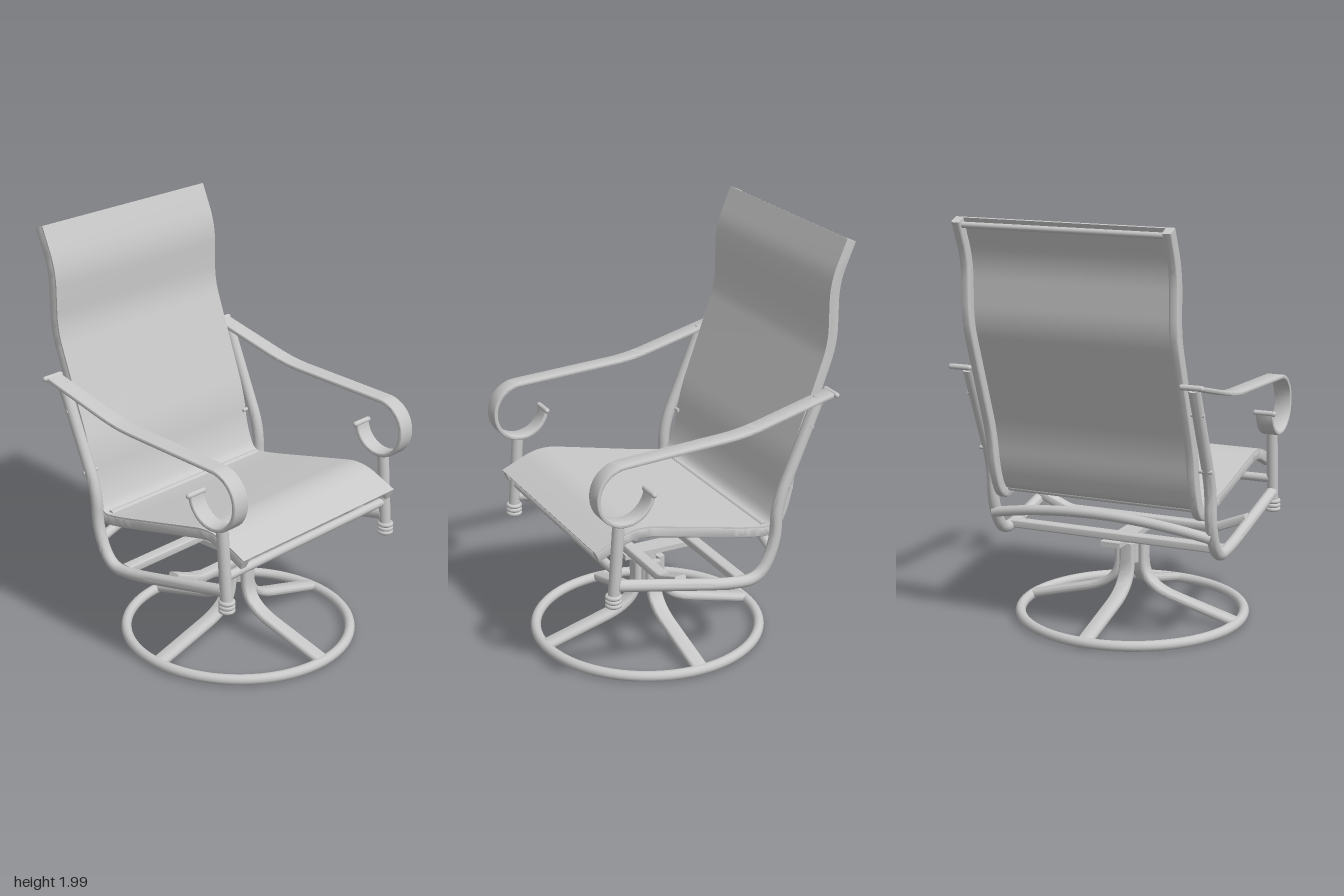
import * as THREE from 'three';
import { toCreasedNormals } from 'three/addons/utils/BufferGeometryUtils.js';

const V = (x, y, z) => new THREE.Vector3(x, y, z);

// Polyline with every inner corner rounded over the given length
function fillet(points, r, steps = 8) {
  const out = [points[0]];
  for (let i = 1; i < points.length - 1; i++) {
    const [p, c, n] = [points[i - 1], points[i], points[i + 1]];
    const a = c.clone().lerp(p, Math.min(0.48, r / c.distanceTo(p)));
    const b = c.clone().lerp(n, Math.min(0.48, r / c.distanceTo(n)));
    out.push(...new THREE.QuadraticBezierCurve3(a, c, b).getPoints(steps));
  }
  out.push(points[points.length - 1]);
  return out;
}

// Cross-sections: [offset along the side vector, offset along the path normal]
const oval = (w, h, n = 18) => Array.from({ length: n }, (_, i) => {
  const t = (i / n) * Math.PI * 2;
  return [w * Math.cos(t), h * Math.sin(t)];
});
const rect = (w, h, off = 0) => [[w, off - h], [w, off + h], [-w, off + h], [-w, off - h]];
const softRect = (w, h, r) => {
  const out = [];
  [[1, 1], [-1, 1], [-1, -1], [1, -1]].forEach(([sx, sy], k) => {
    for (let i = 0; i <= 4; i++) {
      const t = (k + i / 4) * Math.PI / 2;
      out.push([sx * (w - r) + r * Math.cos(t), sy * (h - r) + r * Math.sin(t)]);
    }
  });
  return out;
};

// Sweep a section along a planar path whose plane normal is `side`
function sweep(path, side, section) {
  const pos = [], idx = [], m = section.length, last = path.length - 1;
  path.forEach((p, i) => {
    const t = path[Math.min(i + 1, last)].clone().sub(path[Math.max(i - 1, 0)]).normalize();
    const n = t.cross(side).normalize();
    for (const [a, b] of section) {
      const q = p.clone().addScaledVector(side, a).addScaledVector(n, b);
      pos.push(q.x, q.y, q.z);
    }
  });
  for (let i = 0; i < last; i++) {
    for (let j = 0; j < m; j++) {
      const a = i * m + j, b = i * m + (j + 1) % m;
      idx.push(a, b, b + m, a, b + m, a + m);
    }
  }
  for (let j = 1; j < m - 1; j++) {
    idx.push(0, j + 1, j);
    idx.push(last * m, last * m + j, last * m + j + 1);
  }
  const g = new THREE.BufferGeometry();
  g.setAttribute('position', new THREE.Float32BufferAttribute(pos, 3));
  g.setIndex(idx);
  return toCreasedNormals(g, 0.7);
}

export function createModel() {
  const chair = new THREE.Group();
  chair.name = 'swivelChair';
  const grey = new THREE.MeshStandardMaterial({ color: 0xc8c8c8 });
  grey.name = 'lightGrey';
  const X = V(1, 0, 0), Z = V(0, 0, 1);
  const add = (name, geometry, parent = chair) => {
    const mesh = new THREE.Mesh(geometry, grey);
    mesh.name = name;
    parent.add(mesh);
    return mesh;
  };
  const rod = (name, a, b, r) => {
    const mesh = add(name, new THREE.CylinderGeometry(r, r, a.distanceTo(b), 18));
    mesh.position.copy(a).lerp(b, 0.5);
    mesh.quaternion.setFromUnitVectors(V(0, 1, 0), b.clone().sub(a).normalize());
    return mesh;
  };
  const yz = (x, list) => list.map(([z, y]) => V(x, y, z));

  // Swivel base: ring, four curved legs and hub
  const base = new THREE.Group();
  base.name = 'swivelBase';
  base.position.z = 0.11;
  chair.add(base);
  const ring = add('baseRing', new THREE.TorusGeometry(0.545, 0.025, 14, 72), base);
  ring.rotation.x = Math.PI / 2;
  ring.position.y = 0.03;
  const legPath = fillet([V(0.54, 0.035, 0), V(0.15, 0.14, 0), V(0.062, 0.22, 0), V(0.062, 0.38, 0)], 0.08);
  const legShape = sweep(legPath, Z, softRect(0.038, 0.019, 0.016));
  for (let i = 0; i < 4; i++) add('baseLeg', legShape, base).rotation.y = i * Math.PI / 2;
  add('hub', new THREE.CylinderGeometry(0.043, 0.043, 0.14, 24), base).position.y = 0.345;

  // Swivel plate and the two bars that carry the side frames
  add('swivelPlate', new THREE.BoxGeometry(0.1, 0.025, 0.4)).position.set(0, 0.423, 0.05);
  const frontBar = [[-0.55, 0.525], [-0.39, 0.46], [0.39, 0.46], [0.55, 0.525]].map(([x, y]) => V(x, y, 0.22));
  add('frontSupportBar', sweep(fillet(frontBar, 0.03), Z, softRect(0.028, 0.02, 0.008)));
  add('rearSupportBar', sweep([V(-0.55, 0.455, -0.09), V(0.55, 0.455, -0.09)], Z, softRect(0.028, 0.02, 0.008)));

  // Sling: seat and back follow one continuous line
  const slingLine = [[0.62, 0.712], [0.43, 0.797], [-0.15, 0.665], [-0.285, 0.645], [-0.345, 0.78],
    [-0.375, 0.97], [-0.572, 1.515], [-0.572, 1.80], [-0.652, 1.988]];
  const slingPath = (x) => fillet(yz(x, slingLine), 0.085);
  add('slingFabric', sweep(slingPath(0), X, rect(0.523, 0.004, -0.024)));
  rod('topSpreader', V(-0.5, 1.965, -0.645), V(0.5, 1.965, -0.645), 0.014);
  rod('rearSeatSpreader', V(-0.5, 0.675, -0.24), V(0.5, 0.675, -0.24), 0.016);
  rod('frontSeatSpreader', V(-0.5, 0.76, 0.42), V(0.5, 0.76, 0.42), 0.016);

  // Cross members between the side frames
  rod('frontCrossRod', V(-0.555, 0.64, 0.547), V(0.555, 0.64, 0.547), 0.021);
  const bow = new THREE.QuadraticBezierCurve3(V(-0.555, 0.55, -0.265), V(0, 0.68, -0.35), V(0.555, 0.55, -0.265));
  add('rearBow', new THREE.TubeGeometry(bow, 32, 0.024, 14));

  // Armrest line ending in a round scroll
  const armLine = fillet(yz(0, [[-0.54, 1.303], [-0.08, 1.187], [0.5, 1.158]]), 0.1);
  armLine.pop();
  const C = [0.518, 1.015];
  for (let i = 0; i <= 44; i++) {
    const t = Math.PI / 2 - (i / 44) * Math.PI * 1.47;
    const r = 0.143 - 0.011 * Math.min(1, i / 15);
    armLine.push(V(0, C[1] + r * Math.sin(t), C[0] + r * Math.cos(t)));
  }
  const armShape = sweep(armLine, X, softRect(0.043, 0.01, 0.006));
  const scrollEnd = armLine[armLine.length - 1];

  for (const s of [1, -1]) {
    const x = 0.556 * s;
    add('slingRail', sweep(slingPath(0.503 * s), X, softRect(0.021, 0.026, 0.01)));

    // Side frame: lower rail bending up into the back upright
    const frame = yz(x, [[0.545, 0.573], [-0.03, 0.447], [-0.19, 0.44], [-0.272, 0.61], [-0.272, 0.79], [-0.482, 1.285]]);
    add('sideFrame', sweep(fillet(frame, 0.11, 10), X, oval(0.028, 0.028)));

    // Front post with a ringed foot
    const top = V(x, 0.88, 0.532), foot = V(x, 0.475, 0.564);
    rod('frontPost', top, foot, 0.028);
    for (const y of [0.485, 0.505, 0.525]) {
      const collar = add('footRing', new THREE.TorusGeometry(0.028, 0.011, 10, 24));
      collar.rotation.x = Math.PI / 2;
      collar.position.set(x, y, 0.562);
    }

    // Armrest with small rolled rods at both ends
    const ax = 0.568 * s;
    add('armrest', armShape).position.x = ax;
    for (const e of [armLine[0], scrollEnd]) {
      rod('armEndRod', V(ax - 0.046, e.y, e.z), V(ax + 0.046, e.y, e.z), 0.013);
      for (const k of [-1, 1]) {
        add('armEndCap', new THREE.SphereGeometry(0.013, 14, 10)).position.set(ax + k * 0.046, e.y, e.z);
      }
    }

    // Bolts joining sling rail and frame
    for (const [y, z] of [[0.88, -0.33], [1.16, -0.435]]) {
      rod('frameBolt', V(0.5 * s, y, z), V(0.587 * s, y, z), 0.009);
    }
  }
  return chair;
}
